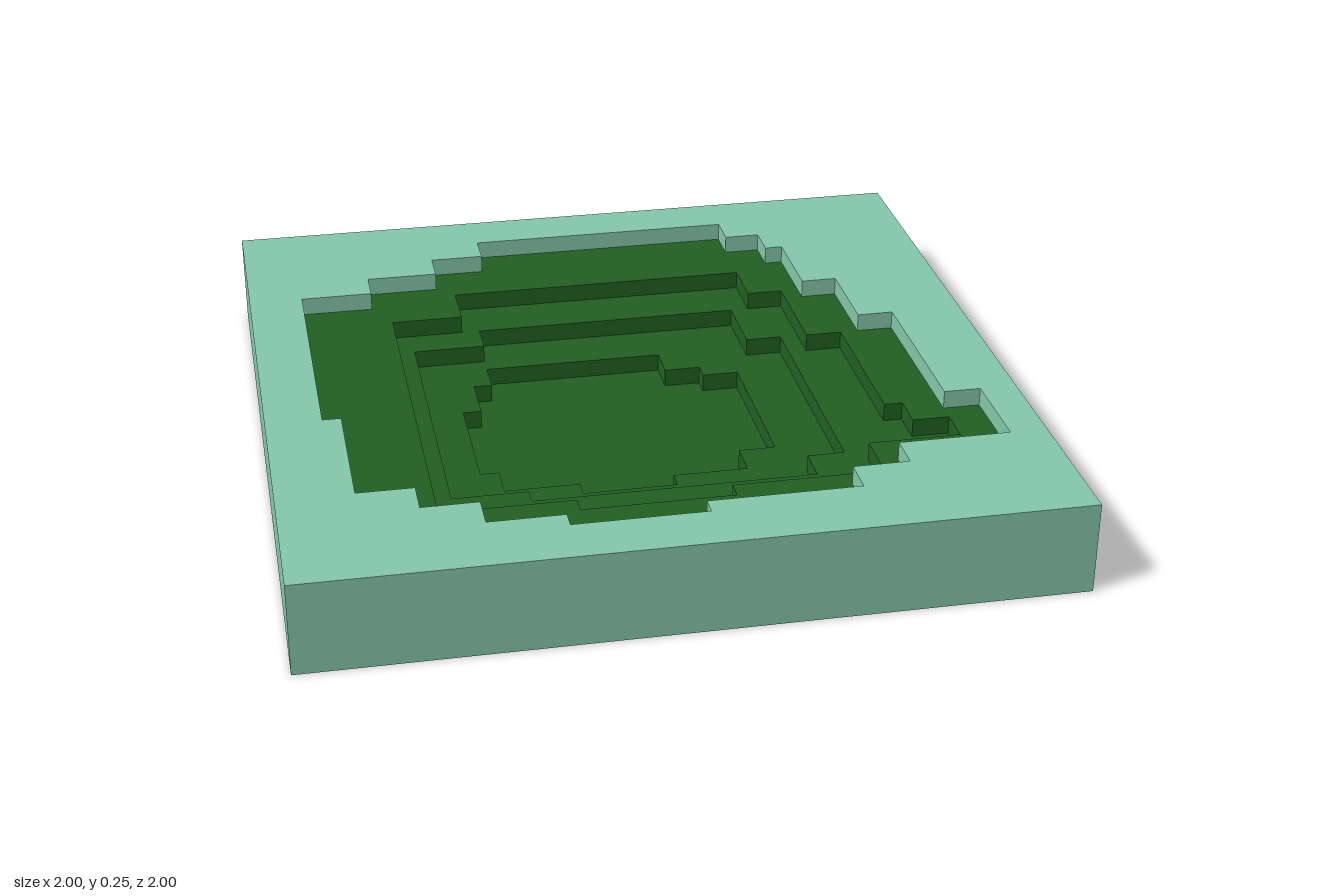
import * as THREE from 'three';

const U = 0.05; // one grid cell, also the height of one terrace

const paleGreen = new THREE.MeshStandardMaterial({ color: 0x86caac });
const deepGreen = new THREE.MeshStandardMaterial({ color: 0x226122 });
paleGreen.name = 'paleGreen';
deepGreen.name = 'deepGreen';

// Stepped outline in cells: start x, z, then new x, new z, new x ... in turn
const RIM = [-6, -17, 9, -15, 11, -13, 12, -8, 14, -3, 16, 7, 18, 12, 12, 14, 9, 16, 1, 17,
  -6, 16, -10, 14, -13, 12, -16, 4, -17, -11, -13, -13, -9, -15, -6];
const UPPER = [-8, -12, 9, -9, 11, -3, 13, 6, 14, 8, 16, 10, 11, 13, 3, 14, -5, 13, -12, -9, -8];
const MIDDLE = [-7, -9, 8, -5, 10, 9, 8, 11, -7, 10, -11, -7, -7];
const LOWER = [-7, -6, 3, -4, 5, -3, 7, 6, 5, 8, 1, 9, -4, 8, -8, 6, -9, -1, -8, -4, -7];

const square = (h) => [-h, -h, h, h, -h];

function steppedPoints([x, z, ...moves]) {
  const points = [new THREE.Vector2(x * U, z * U)];
  moves.forEach((value, i) => {
    if (i % 2 === 0) x = value;
    else z = value;
    points.push(new THREE.Vector2(x * U, z * U));
  });
  return points;
}

// Flat slab between two heights (in cells), with an optional stepped opening
function slab(name, material, outline, hole, bottom, top) {
  const shape = new THREE.Shape(steppedPoints(outline));
  if (hole) shape.holes.push(new THREE.Path(steppedPoints(hole)));
  const geometry = new THREE.ExtrudeGeometry(shape, { depth: (top - bottom) * U, bevelEnabled: false });
  geometry.rotateX(Math.PI / 2).translate(0, top * U, 0);
  const mesh = new THREE.Mesh(geometry, material);
  mesh.name = name;
  return mesh;
}

export function createModel() {
  const model = new THREE.Group();
  model.name = 'terracedBasin';

  // Pale casing: top surface with the basin opening, and the side walls
  model.add(slab('topSurface', paleGreen, square(20), RIM, 4, 5));
  model.add(slab('sideWalls', paleGreen, square(20), square(19), 0, 4));

  // Green terraces stepping down to the floor
  const terraces = new THREE.Group();
  terraces.name = 'terraces';
  terraces.add(slab('upperTerrace', deepGreen, square(19), UPPER, 3, 4));
  terraces.add(slab('middleTerrace', deepGreen, square(19), MIDDLE, 2, 3));
  terraces.add(slab('lowerTerrace', deepGreen, square(19), LOWER, 1, 2));
  terraces.add(slab('basinFloor', deepGreen, square(19), null, 0, 1));
  model.add(terraces);

  return model;
}
